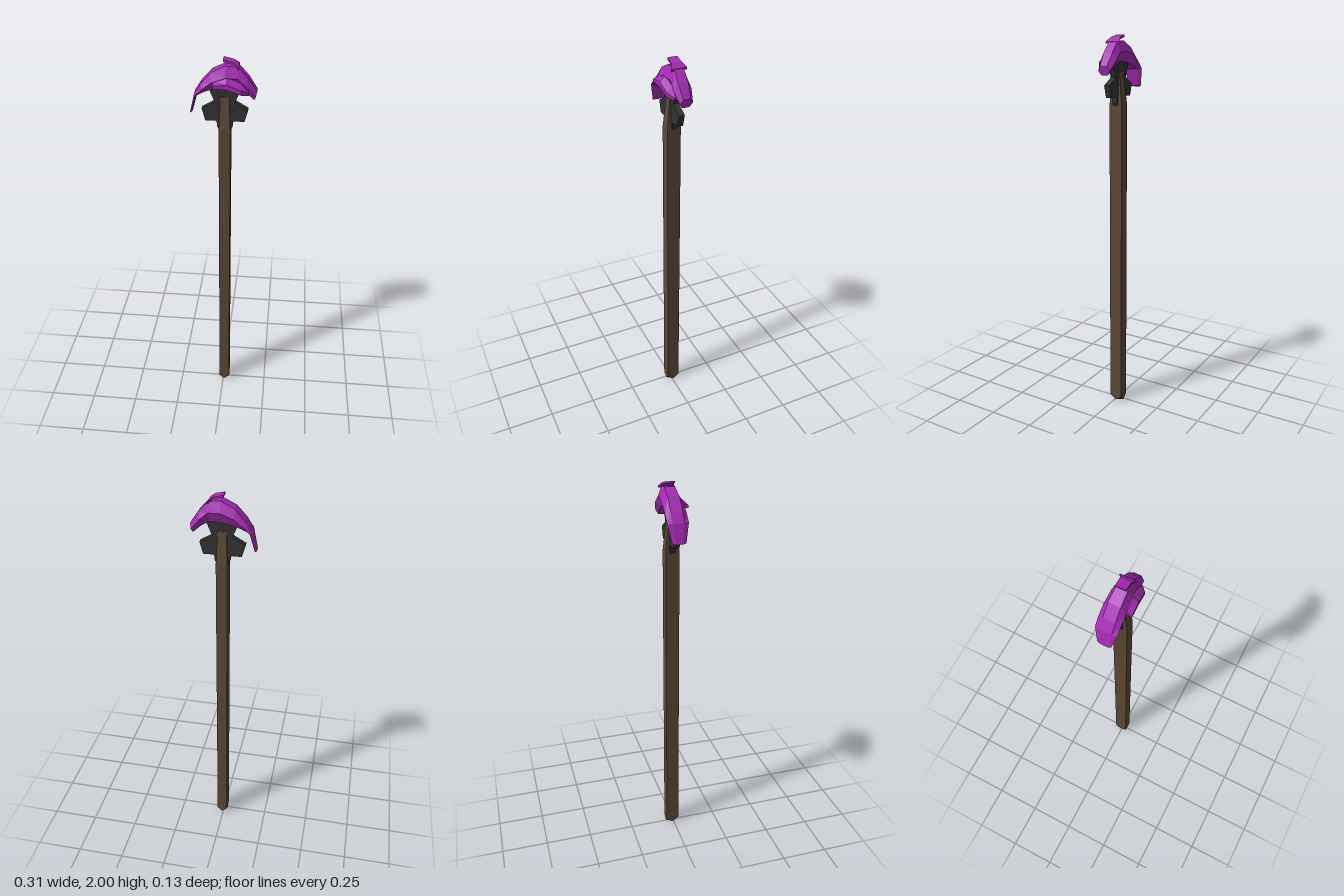
import * as THREE from 'three';

const mat = (name, color, double) => {
  const m = new THREE.MeshStandardMaterial({ color, flatShading: true });
  m.name = name;
  if (double) m.side = THREE.DoubleSide;
  return m;
};

// Skin a list of equal-length rings and close both ends.
function loft(rings) {
  const pos = [];
  const tri = (a, b, c) => pos.push(...a, ...b, ...c);
  const n = rings[0].length;
  for (let i = 0; i < rings.length - 1; i++) {
    const a = rings[i], b = rings[i + 1];
    for (let j = 0; j < n; j++) {
      const k = (j + 1) % n;
      tri(a[j], a[k], b[k]);
      tri(a[j], b[k], b[j]);
    }
  }
  const first = rings[0], last = rings[rings.length - 1];
  for (let j = 1; j < n - 1; j++) {
    tri(first[0], first[j + 1], first[j]);
    tri(last[0], last[j], last[j + 1]);
  }
  const g = new THREE.BufferGeometry();
  g.setAttribute('position', new THREE.Float32BufferAttribute(pos, 3));
  g.computeVertexNormals();
  return g;
}

const CX = 0.007, CZ = -0.006;

// Square ring with edge midpoints; corners may be pulled in and raised.
function squareRing(hx, hz, yMid, yCorner = yMid, pull = 1) {
  const ring = [];
  for (const [x, z] of [[1, 1], [1, 0], [1, -1], [0, -1], [-1, -1], [-1, 0], [-1, 1], [0, 1]]) {
    const corner = x !== 0 && z !== 0;
    const s = corner ? pull : 1;
    ring.push([CX + x * hx * s, corner ? yCorner : yMid, CZ + z * hz * s]);
  }
  return ring;
}

export function createModel() {
  const group = new THREE.Group();
  const wood = mat('dark wood', 0x5a4836);
  const iron = mat('black iron', 0x323234);
  const purple = mat('purple crystal', 0xa52cb4, true);
  const add = (name, geometry, material) => {
    const mesh = new THREE.Mesh(geometry, material);
    mesh.name = name;
    group.add(mesh);
    return mesh;
  };

  // Square shaft with clipped foot corners and a tapered top
  add('shaft', loft([
    squareRing(0.028, 0.035, 0, 0, 0.5),
    squareRing(0.028, 0.035, 0, 0.025),
    squareRing(0.028, 0.035, 1.66),
    squareRing(0.02, 0.018, 1.82),
  ]), wood);

  // Flat winged holder
  const half = [[0.02, 1.64], [0.036, 1.67], [0.04, 1.7], [0.093, 1.7], [0.11, 1.76], [0.048, 1.795], [0.08, 1.87]];
  const outline = [...half, ...half.slice().reverse().map(([x, y]) => [-x, y])];
  const holder = new THREE.ExtrudeGeometry(
    new THREE.Shape(outline.map(([x, y]) => new THREE.Vector2(x, y))),
    { depth: 0.03, bevelEnabled: false });
  holder.translate(CX, 0, CZ - 0.015);
  add('holder', holder, iron);

  // Curved blade: outer x, y, inner x, y, half width
  const stations = [
    [-0.158, 1.74, -0.147, 1.745, 0.034],
    [-0.136, 1.835, -0.124, 1.83, 0.052],
    [-0.105, 1.885, -0.09, 1.845, 0.053],
    [-0.055, 1.94, -0.05, 1.86, 0.052],
    [0.01, 1.972, 0.01, 1.87, 0.048],
    [0.07, 1.965, 0.065, 1.87, 0.042],
    [0.115, 1.915, 0.1, 1.85, 0.045],
    [0.157, 1.853, 0.145, 1.81, 0.033],
  ];
  add('blade', loft(stations.map(([ox, oy, ix, iy, w]) => {
    const mx = (ox + ix) / 2, my = (oy + iy) / 2, z = -0.012, e = w * 0.55;
    return [[ox, oy, z + e], [mx, my, z + w], [ix, iy, z + e],
      [ix, iy, z - e], [mx, my, z - w], [ox, oy, z - e]];
  })), purple);

  // Shard along the front: x, top y, bottom y, front z
  add('frontShard', loft([
    [-0.046, 1.905, 1.88, 0.064],
    [0.02, 1.925, 1.875, 0.061],
    [0.086, 1.895, 1.85, 0.057],
    [0.118, 1.865, 1.84, 0.032],
  ].map(([x, t, b, z]) => [[x, t, z - 0.03], [x, (t + b) / 2, z], [x, b, z], [x, b, z - 0.035]])), purple);

  // Small fin lifting off the crown: x, top y, back z, front z
  add('crownFin', loft([
    [-0.002, 1.999, -0.037, 0.012],
    [0.045, 1.988, -0.037, 0.014],
    [0.07, 1.967, -0.053, 0.028],
  ].map(([x, y, zb, zf]) => [[x, y, zf], [x, y - 0.01, zf], [x, y - 0.01, zb], [x, y, zb]])), purple);

  return group;
}
